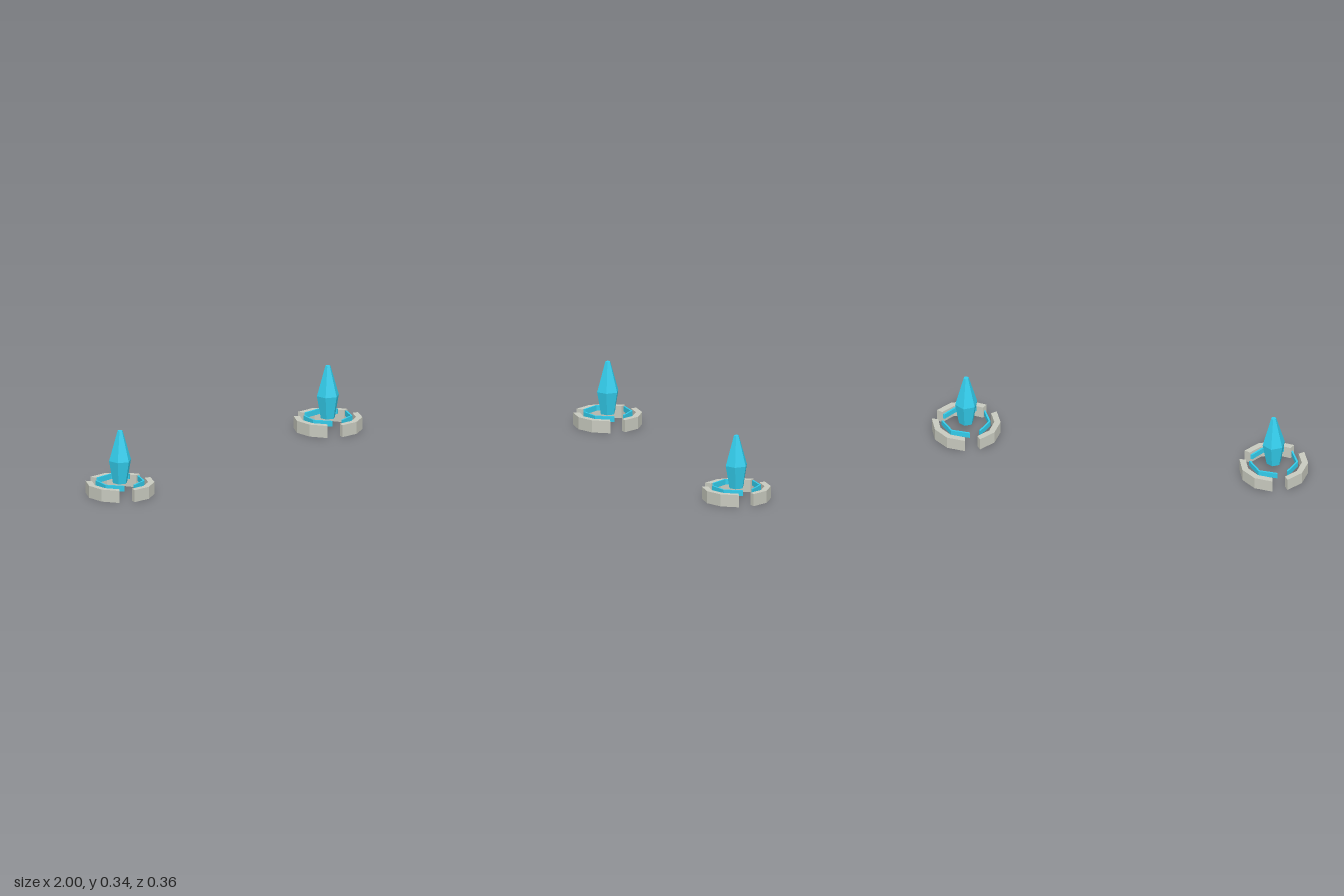
import * as THREE from 'three';

const stone = new THREE.MeshStandardMaterial({ color: 0xc8cabf, flatShading: true });
const glow = new THREE.MeshStandardMaterial({ color: 0x33cdec, flatShading: true });
const rad = THREE.MathUtils.degToRad;

// Faceted arc block lying flat, from y0 to y1, angles counter-clockwise seen from above
function arcBlock(rOuter, rInner, start, span, segments, y0, y1) {
  const outer = [], inner = [];
  for (let i = 0; i <= segments; i++) {
    const a = rad(start + (span * i) / segments);
    const dir = new THREE.Vector2(Math.cos(a), Math.sin(a));
    outer.push(dir.clone().multiplyScalar(rOuter));
    inner.unshift(dir.clone().multiplyScalar(rInner));
  }
  const geo = new THREE.ExtrudeGeometry(new THREE.Shape([...outer, ...inner]), {
    depth: y1 - y0, bevelEnabled: false,
  });
  return geo.rotateX(-Math.PI / 2).translate(0, y0, 0);
}

function add(group, name, geometry, material) {
  const mesh = new THREE.Mesh(geometry, material);
  mesh.name = name;
  group.add(mesh);
}

function createPylon() {
  const pylon = new THREE.Group();

  // Six-sided crystal, widest at mid height, with blunt ends
  const profile = [[0, 0.06], [0.039, 0.06], [0.0605, 0.181], [0.0138, 0.341], [0, 0.341]];
  const crystal = new THREE.LatheGeometry(profile.map(([r, y]) => new THREE.Vector2(r, y)), 6);
  add(pylon, 'crystal', crystal, glow);

  // Three stone arcs with thin glowing strips inside them
  for (let i = 0; i < 3; i++) {
    add(pylon, 'stoneArc', arcBlock(0.18, 0.147, 6.2 + i * 120, 94.2, 3, 0, 0.065), stone);
    add(pylon, 'glowStrip', arcBlock(0.129, 0.119, 17.6 + i * 120, 94.2, 2, 0.047, 0.0755), glow);
  }
  return pylon;
}

export function createModel() {
  const model = new THREE.Group();
  model.name = 'crystalPylons';
  for (const [name, x] of [['rightPylon', -0.822], ['leftPylon', 0.821]]) {
    const pylon = createPylon();
    pylon.name = name;
    pylon.position.x = x;
    model.add(pylon);
  }
  return model;
}
